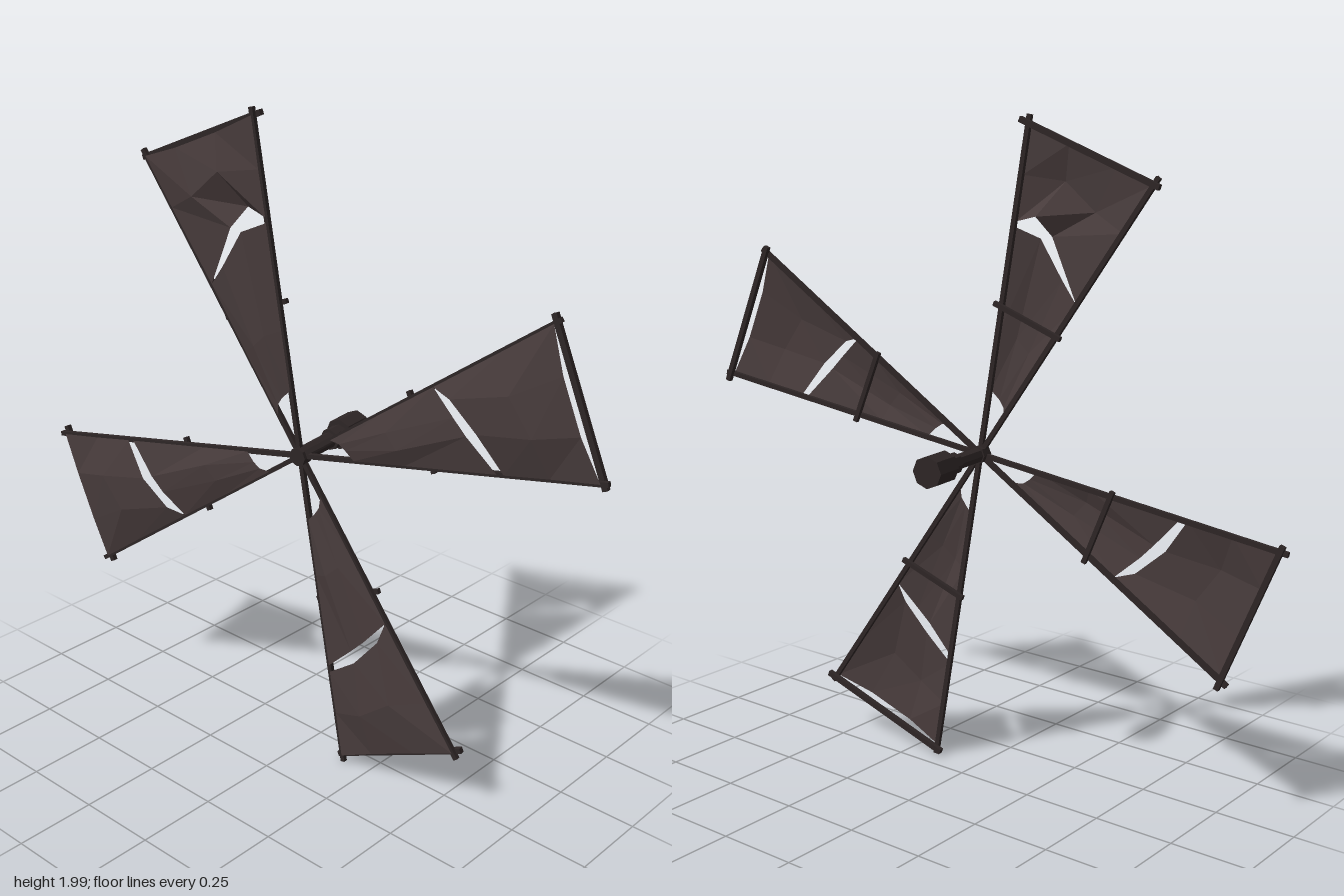
import * as THREE from 'three';

const sailMat = new THREE.MeshStandardMaterial({ color: 0x483c3c, flatShading: true, side: THREE.DoubleSide });
sailMat.name = 'weathered sailcloth';
const woodMat = new THREE.MeshStandardMaterial({ color: 0x2e2626, flatShading: true });
woodMat.name = 'dark timber';

// Square timber between two points [r, t] of the blade plane, at depth w
function beam(name, a, b, w, size) {
  const dx = b[0] - a[0], dy = b[1] - a[1];
  const mesh = new THREE.Mesh(new THREE.BoxGeometry(Math.hypot(dx, dy), size, size), woodMat);
  mesh.position.set((a[0] + b[0]) / 2, (a[1] + b[1]) / 2, w);
  mesh.rotation.z = Math.atan2(dy, dx);
  mesh.name = name;
  return mesh;
}

// Cloth sheet from rows of [along, across, forward] points
function cloth(name, rows) {
  const n = rows[0].length, index = [];
  for (let i = 0; i < rows.length - 1; i++) {
    for (let j = 0; j < n - 1; j++) {
      const a = i * n + j, c = a + n;
      index.push(a, a + 1, c, a + 1, c + 1, c);
    }
  }
  const geo = new THREE.BufferGeometry();
  geo.setAttribute('position', new THREE.Float32BufferAttribute(rows.flat(2), 3));
  geo.setIndex(index);
  geo.computeVertexNormals();
  const mesh = new THREE.Mesh(geo, sailMat);
  mesh.name = name;
  return mesh;
}

// Torn edges of the cloth: the usual tear and the wider, folded one
const tears = {
  plain: {
    inner: [[0.53, 0.118, 0.008], [0.575, 0.03, 0.024], [0.598, -0.025, 0.026], [0.645, -0.144, 0.008]],
    outer: [[0.53, 0.118, 0.008], [0.58, 0.08, 0.024], [0.635, -0.025, 0.03], [0.666, -0.149, 0.008]],
    middle: [[0.78, 0.174, 0.008], [0.77, 0.06, 0.038], [0.8, -0.06, 0.04], [0.8, -0.178, 0.008]],
  },
  folded: {
    inner: [[0.54, 0.118, 0.008], [0.579, 0.043, 0.024], [0.655, -0.068, 0.03], [0.657, -0.146, 0.008]],
    outer: [[0.54, 0.118, 0.008], [0.675, -0.036, 0.03], [0.715, -0.088, -0.01], [0.672, -0.15, 0.008]],
    middle: [[0.78, 0.174, 0.008], [0.79, 0.06, 0.04], [0.83, -0.06, 0.04], [0.8, -0.178, 0.008]],
  },
};

function blade(tear) {
  const g = new THREE.Group();
  g.name = 'blade';
  // Frame
  for (const s of [1, -1]) g.add(beam('spar', [0, 0], [0.962, s * 0.216], 0, 0.014));
  g.add(beam('tipBar', [0.941, -0.234], [0.941, 0.234], -0.012, 0.016));
  g.add(beam('middleBar', [0.436, -0.118], [0.436, 0.118], -0.012, 0.014));
  // Sail on the hub side of the tear
  g.add(cloth('innerSail', [
    [[0.13, 0.029, 0.008], [0.16, 0.014, 0.012], [0.175, -0.008, 0.012], [0.19, -0.042, 0.008]],
    [[0.33, 0.074, 0.008], [0.34, 0.024, 0.024], [0.36, -0.03, 0.028], [0.36, -0.08, 0.008]],
    tear.inner,
  ]));
  // Sail on the tip side of the tear
  g.add(cloth('outerSail', [
    tear.outer,
    tear.middle,
    [[0.941, 0.211, 0.008], [0.932, 0.08, 0.02], [0.932, -0.08, 0.02], [0.941, -0.211, 0.008]],
  ]));
  return g;
}

export function createModel() {
  const model = new THREE.Group();
  model.name = 'windmillSails';
  const rotor = new THREE.Group();
  rotor.name = 'rotor';
  rotor.position.set(0, 1, 0.088);
  rotor.rotation.y = 0.118;
  model.add(rotor);

  // Four blades around the hub
  const wheel = new THREE.Group();
  wheel.name = 'wheel';
  wheel.scale.y = 1.02;
  for (let i = 0; i < 4; i++) {
    const b = blade(i === 1 ? tears.folded : tears.plain);
    b.rotation.z = THREE.MathUtils.degToRad(22 + 90 * i);
    wheel.add(b);
  }
  rotor.add(wheel);

  // Stepped axle running backwards: [name, radius, front, back]
  for (const [name, radius, front, back] of [
    ['hub', 0.028, 0.018, -0.022],
    ['axleNeck', 0.024, -0.02, -0.15],
    ['axleCollar', 0.033, -0.145, -0.2],
    ['axleEnd', 0.048, -0.195, -0.29],
  ]) {
    const mesh = new THREE.Mesh(new THREE.CylinderGeometry(radius, radius, front - back, 8), woodMat);
    mesh.rotation.x = Math.PI / 2;
    mesh.position.z = (front + back) / 2;
    mesh.name = name;
    rotor.add(mesh);
  }
  return model;
}
